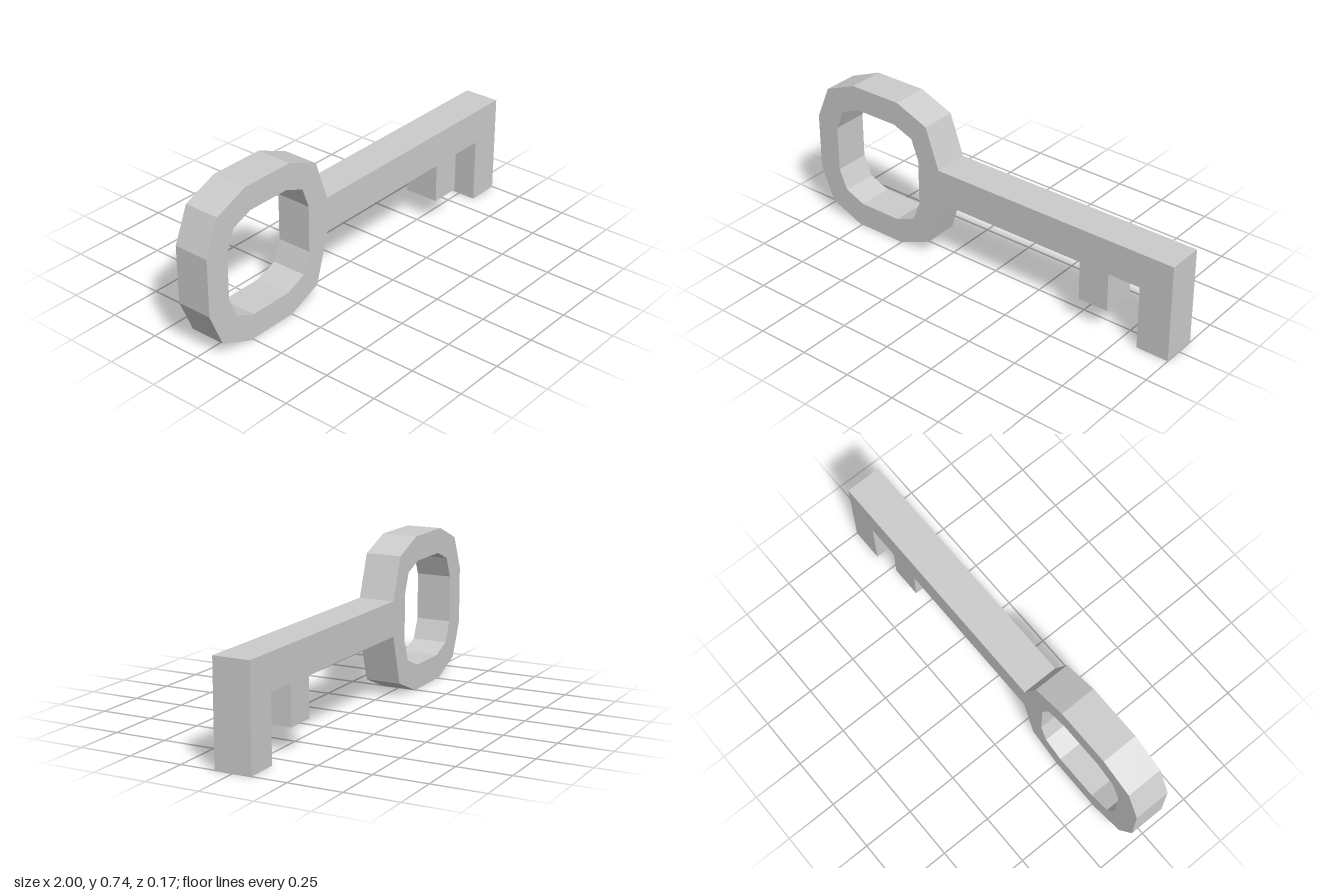
import * as THREE from 'three';

const DEPTH = 0.174;
const toPoints = (list) => list.map(([x, y]) => new THREE.Vector2(x, y));

export function createModel() {
  const group = new THREE.Group();
  group.name = 'key';

  // One continuous silhouette: faceted bow, shaft and two teeth
  const outline = new THREE.Shape(toPoints([
    // bow, lower half
    [-1, 0.235], [-0.93, 0.07], [-0.765, 0], [-0.497, 0], [-0.33, 0.07], [-0.26, 0.31],
    // short tooth
    [0.53, 0.31], [0.53, 0.12], [0.68, 0.12], [0.68, 0.31],
    // long end tooth
    [0.84, 0.31], [0.84, 0], [1, 0],
    // top of the shaft
    [1, 0.477], [-0.26, 0.477],
    // bow, upper half
    [-0.33, 0.675], [-0.497, 0.743], [-0.765, 0.743], [-0.93, 0.675], [-1, 0.51],
  ]));

  // Opening in the bow
  outline.holes.push(new THREE.Path(toPoints([
    [-0.882, 0.485], [-0.84, 0.585], [-0.739, 0.625], [-0.52, 0.625], [-0.418, 0.585], [-0.38, 0.485],
    [-0.38, 0.26], [-0.418, 0.162], [-0.52, 0.12], [-0.739, 0.12], [-0.84, 0.162], [-0.882, 0.26],
  ])));

  const geometry = new THREE.ExtrudeGeometry(outline, { depth: DEPTH, bevelEnabled: false });
  geometry.translate(0, 0, -DEPTH / 2);

  const material = new THREE.MeshStandardMaterial({ color: 0xcccccc, flatShading: true });
  const body = new THREE.Mesh(geometry, material);
  body.name = 'bowShaftAndTeeth';
  group.add(body);
  return group;
}
